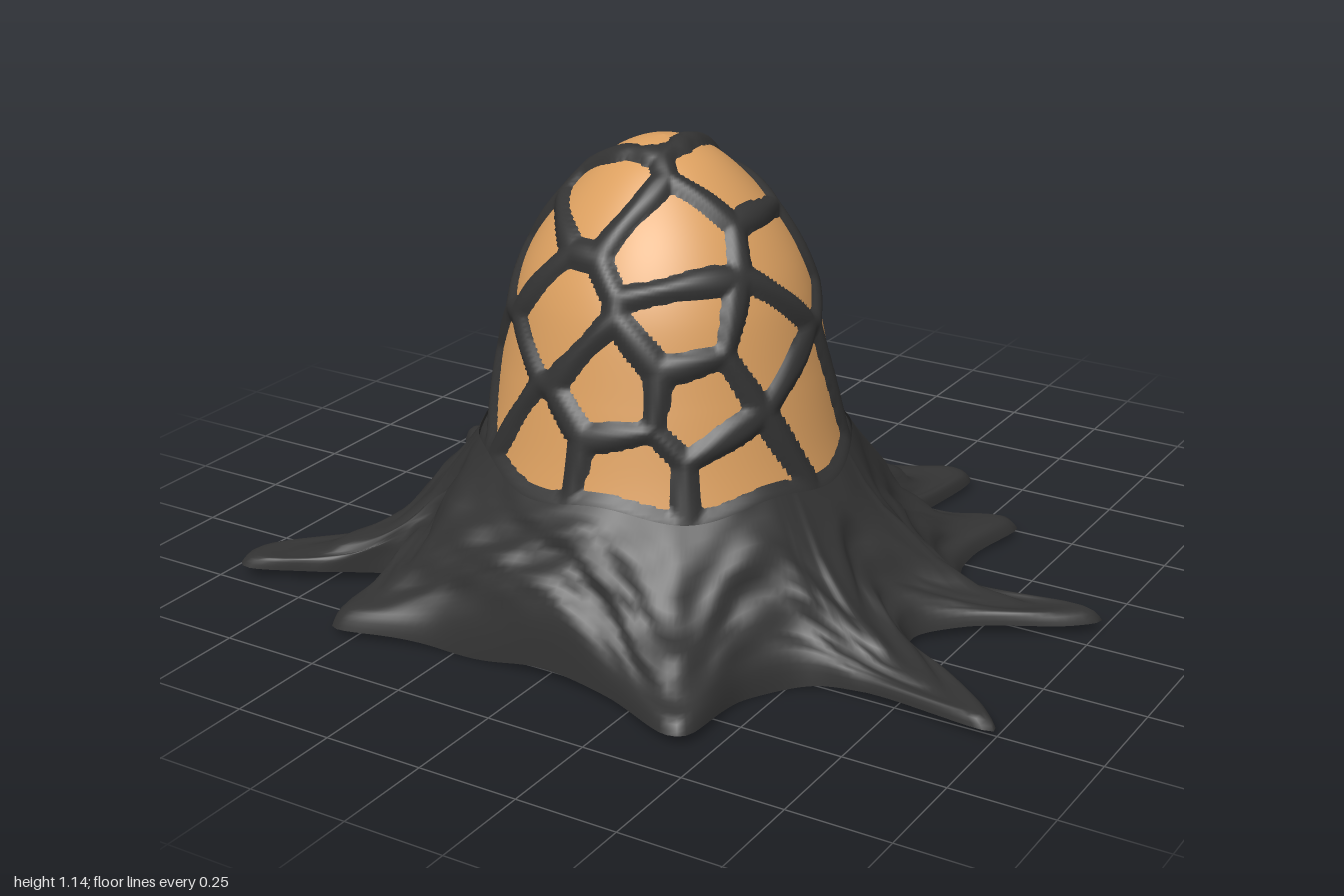
import * as THREE from 'three';

const CX = -0.045, CZ = 0.18, RAD = Math.PI / 180, TAU = Math.PI * 2;
const dark = new THREE.MeshStandardMaterial({ color: 0x333333, side: THREE.DoubleSide });
const amber = new THREE.MeshStandardMaterial({ color: 0xdca060, side: THREE.DoubleSide });

// Egg profile (radius, height), bottom to top
const profile = new THREE.CatmullRomCurve3([
  [0.5, 0.2], [0.47, 0.3], [0.435, 0.43], [0.4, 0.6], [0.355, 0.8], [0.31, 0.9],
  [0.24, 1.0], [0.135, 1.1], [0.06, 1.137], [0.001, 1.147],
].map(([r, y]) => new THREE.Vector3(r, y, 0))).getSpacedPoints(120);

// Plateau around the low cell at the back
function nearLowCell(a, width) {
  const d = Math.atan2(Math.sin(a - 199 * RAD), Math.cos(a - 199 * RAD));
  return Math.exp(-((d / width) ** 4));
}

// Egg radius, swelling out around the low cell
function eggRadius(a, y) {
  const i = Math.max(1, profile.findIndex((p) => p.y >= y));
  const p = profile[i - 1], q = profile[i];
  const r = THREE.MathUtils.lerp(p.x, q.x, (y - p.y) / (q.y - p.y));
  return r + 0.06 * nearLowCell(a, 0.45) * (1 - THREE.MathUtils.smoothstep(y, 0.3, 0.52));
}

const at = (a, r, y) => new THREE.Vector3(CX + r * Math.sin(a), y, CZ + r * Math.cos(a));

// Centres of the glowing cells: degrees around the axis from the front, height
const cells = [
  [250, 1.13], [-20, 1.04], [36, 0.95], [102, 1.07], [98, 0.89], [144, 0.88], [207, 0.92],
  [268, 0.95], [-43, 0.89], [-14, 0.78], [40, 0.79], [71, 0.72], [178, 0.6], [224, 0.6],
  [285, 0.74], [13, 0.64], [-39, 0.59], [45, 0.62], [128, 0.62], [88, 0.56], [264, 0.54],
  [-13, 0.47], [19, 0.44], [57, 0.44], [-65, 0.47], [199, 0.29],
].map(([d, y]) => at(d * RAD, eggRadius(d * RAD, y), y));

// Height where the skirt meets the egg, with a dip for the low cell
function collar(a) {
  return 0.395 - 0.04 * Math.cos(a - 40 * RAD) + 0.014 * Math.sin(a * 7)
    - 0.18 * nearLowCell(a, 0.25);
}

// Distance from a point to the nearest border between cells
function borderDistance(p) {
  let near = cells[0];
  for (const c of cells) if (c.distanceToSquared(p) < near.distanceToSquared(p)) near = c;
  let best = 1;
  for (const c of cells) {
    if (c === near) continue;
    const gap = (c.distanceToSquared(p) - near.distanceToSquared(p)) / (2 * c.distanceTo(near));
    best = Math.min(best, gap);
  }
  return best;
}

// Closed rings of points, bottom to top, joined into a surface
function loft(name, rings, material, keep = () => true) {
  const n = rings[0].length, index = [];
  for (let i = 0; i < rings.length - 1; i++) {
    for (let j = 0; j < n; j++) {
      const k = (j + 1) % n;
      const a = i * n + j, b = i * n + k, c = (i + 1) * n + k, d = (i + 1) * n + j;
      for (const tri of [[a, b, c], [a, c, d]]) if (keep(tri)) index.push(...tri);
    }
  }
  const geometry = new THREE.BufferGeometry().setFromPoints(rings.flat());
  geometry.setIndex(index);
  geometry.computeVertexNormals();
  const mesh = new THREE.Mesh(geometry, material);
  mesh.name = name;
  return mesh;
}

// Egg with raised veins between the cells
function buildEgg(group) {
  const SEG = 220, W = 0.032, dist = [], core = [], veins = [];
  for (const { y } of profile) {
    const inner = [], outer = [];
    for (let j = 0; j < SEG; j++) {
      const a = (j / SEG) * TAU, p = at(a, eggRadius(a, y), y);
      const wobble = 0.004 * Math.sin(a * 7 + y * 19) + 0.003 * Math.sin(a * 5 - y * 14);
      const d = Math.min(borderDistance(p) + wobble, y - collar(a));
      const lift = Math.max(-0.0015, 0.016 * (1 - (Math.max(0, d) / W) ** 2));
      const out = new THREE.Vector3(p.x - CX, (p.y - 0.45) * 0.5, p.z - CZ).normalize();
      dist.push(d);
      inner.push(p.clone().addScaledVector(out, -0.008));
      outer.push(p.clone().addScaledVector(out, lift - 0.008));
    }
    core.push(inner);
    veins.push(outer);
  }
  group.add(loft('eggCells', core, amber, (t) => t.some((i) => dist[i] > W * 0.95)));
  group.add(loft('eggVeins', veins, dark,
    (t) => t.some((i) => dist[i] < W) && t.some((i) => dist[i] > -0.03)));
}

// Outline of the spiked foot on the ground (x, z), from the +x side round by the back
const outline = [
  [1, -0.09], [0.68, -0.09], [0.58, -0.2], [0.57, -0.29], [0.6, -0.49], [0.36, -0.39],
  [0.37, -0.7], [0.33, -0.72], [0.19, -0.63], [0.05, -0.61], [-0.1, -0.65], [-0.29, -0.79],
  [-0.43, -0.91], [-0.49, -0.87], [-0.47, -0.7], [-0.42, -0.48], [-0.53, -0.49], [-0.65, -0.51],
  [-0.66, -0.45], [-0.61, -0.29], [-0.62, -0.18], [-0.72, -0.2], [-0.93, -0.32], [-1, -0.3],
  [-0.85, -0.08], [-0.72, 0.13], [-0.71, 0.29], [-0.82, 0.47], [-0.97, 0.68], [-0.94, 0.73],
  [-0.77, 0.66], [-0.59, 0.57], [-0.58, 0.8], [-0.55, 0.86], [-0.29, 0.8], [0.03, 0.79],
  [0.19, 0.81], [0.4, 0.9], [0.44, 0.88], [0.45, 0.64], [0.54, 0.52], [0.67, 0.5],
  [1, 0.52], [0.98, 0.48], [0.83, 0.36], [0.67, 0.27], [0.65, 0.2], [0.73, 0.11], [0.95, -0.02],
];

// Skirt sweeping from the collar of the egg down to the spikes, open underneath
function buildSkirt(group) {
  const N = 360, LEVELS = 20;
  const curve = new THREE.CatmullRomCurve3(
    outline.map(([x, z]) => new THREE.Vector3(x, 0, z)), true, 'centripetal');
  const rim = curve.getSpacedPoints(N).slice(0, N);
  // Angles, unwrapped then averaged so the folds run smoothly up the skirt
  const angles = [];
  rim.forEach((p, i) => {
    let a = Math.atan2(p.x - CX, p.z - CZ);
    while (i && a < angles[i - 1] - Math.PI) a += TAU;
    angles.push(a);
  });
  const smooth = (f, span) => rim.map((_, i) => {
    let sum = 0;
    for (let k = i - span; k <= i + span; k++) sum += f((k + N) % N, Math.floor(k / N));
    return sum / (2 * span + 1);
  });
  const around = smooth((i, turn) => angles[i] + turn * TAU, 8);
  const reach = smooth((i) => Math.hypot(rim[i].x - CX, rim[i].z - CZ) - 0.45, 5);
  const rings = [];
  for (let l = 0; l <= LEVELS; l++) {
    const t = (l / LEVELS) ** 1.5;
    rings.push(rim.map((p, i) => {
      const a = around[i], yTop = collar(a) + 0.01;
      const top = at(a, eggRadius(a, yTop) + 0.012, yTop);
      // Long spikes sweep out low, short stretches drop steeply, most of all in front
      const power = THREE.MathUtils.clamp(
        0.68 - 0.18 * Math.cos(a) + (reach[i] - 0.17) * 5, 0.5, 2.8);
      const foot = 0.022 + 0.008 * Math.sin(a * 5) + 0.008 * Math.sin(a * 11 + 1);
      const v = p.clone().lerp(top, t);
      // Rounded crown so the spikes keep some thickness to their tips
      const crown = 0.045 * (1 - Math.exp(-t * 22)) * (1 - t) ** 3;
      v.y = foot + (yTop - foot) * t ** power + crown;
      // Lumpy folds, fading out at both edges
      const lump = Math.sin(t * Math.PI) * (0.01 * Math.sin(a * 8 + t * 9)
        + 0.005 * Math.sin(a * 15 - t * 17) + 0.004 * Math.sin(a * 23 + t * 29));
      v.x += lump * Math.sin(a);
      v.z += lump * Math.cos(a);
      v.y += lump * 0.6;
      return v;
    }));
  }
  group.add(loft('spikedSkirt', rings, dark));
}

export function createModel() {
  const group = new THREE.Group();
  group.name = 'veinedEgg';
  buildEgg(group);
  buildSkirt(group);
  return group;
}
